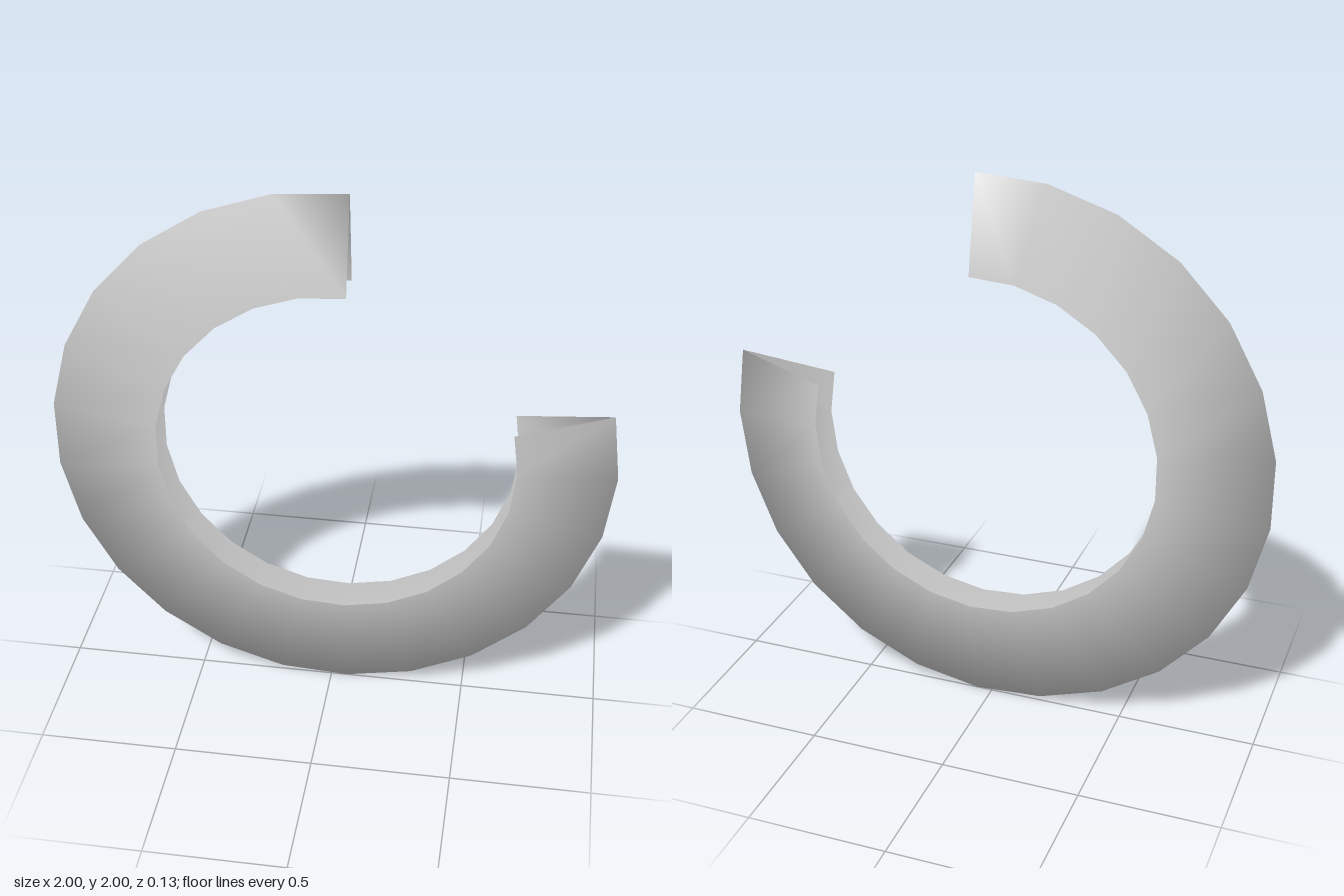
import * as THREE from 'three';

const SEGMENTS = 20;
const START = THREE.MathUtils.degToRad(86.4);
const SWEEP = THREE.MathUtils.degToRad(288);

// Open V cross-section: front rim, sharp outer edge, back rim.
// The rims are slightly off-centre, so the band narrows along its sweep.
const PROFILE = [
  { cx: 0.018, cy: 1.025, r: 0.636, z: 0.067 },
  { cx: -0.004, cy: 1.0, r: 1.002, z: 0 },
  { cx: 0.018, cy: 1.025, r: 0.636, z: -0.067 },
];

// Sweep the cross-section round the arc, leaving both ends open
function sweptBand() {
  const positions = [];
  const indices = [];
  const n = PROFILE.length;
  for (let i = 0; i <= SEGMENTS; i++) {
    const a = START + (SWEEP * i) / SEGMENTS;
    for (const p of PROFILE) {
      positions.push(p.cx + p.r * Math.cos(a), p.cy + p.r * Math.sin(a), p.z);
    }
  }
  for (let i = 0; i < SEGMENTS; i++) {
    for (let j = 0; j < n - 1; j++) {
      const a = i * n + j;
      const b = a + 1;
      const c = b + n;
      const d = a + n;
      indices.push(a, b, c, a, c, d);
    }
  }
  const geometry = new THREE.BufferGeometry();
  geometry.setAttribute('position', new THREE.Float32BufferAttribute(positions, 3));
  geometry.setIndex(indices);
  geometry.computeVertexNormals(); // smooth across the outer edge
  return geometry;
}

export function createModel() {
  const group = new THREE.Group();
  group.name = 'openRing';

  const grey = new THREE.MeshStandardMaterial({ color: 0xcccccc, side: THREE.DoubleSide });
  grey.name = 'light grey';

  const band = new THREE.Mesh(sweptBand(), grey);
  band.name = 'ringBlade';
  group.add(band);
  return group;
}
